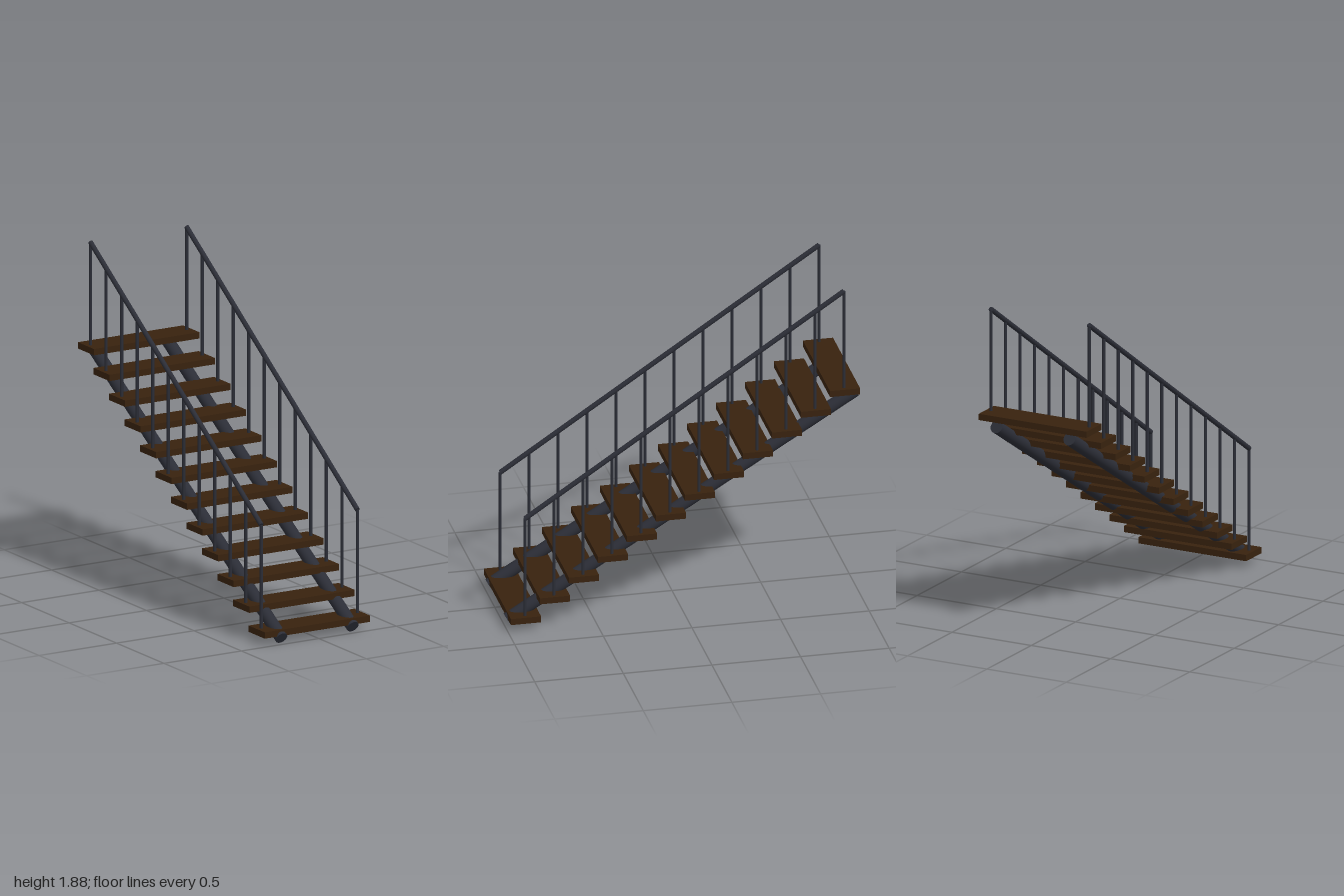
import * as THREE from 'three';

const STEPS = 12;

export function createModel() {
  const model = new THREE.Group();
  model.name = 'staircase';

  const wood = new THREE.MeshStandardMaterial({ color: 0x38220e });
  wood.name = 'dark wood';
  const metal = new THREE.MeshStandardMaterial({ color: 0x2b2d36 });
  metal.name = 'dark metal';

  // Round bar between two points
  function bar(name, a, b, radius, sides) {
    const axis = new THREE.Vector3().subVectors(b, a);
    const mesh = new THREE.Mesh(new THREE.CylinderGeometry(radius, radius, axis.length(), sides), metal);
    mesh.name = name;
    mesh.position.addVectors(a, b).multiplyScalar(0.5);
    mesh.quaternion.setFromUnitVectors(new THREE.Vector3(0, 1, 0), axis.normalize());
    return mesh;
  }
  const point = (x, y, z) => new THREE.Vector3(x, y, z);

  // Treads, rising towards the back
  const treadGeometry = new THREE.BoxGeometry(0.68, 0.036, 0.17);
  const treadY = t => 0.062 + 1.2 * t;
  const treadZ = t => 0.9 - 1.8 * t;
  const railY = t => 0.668 + 1.197 * t;
  const treads = new THREE.Group();
  treads.name = 'treads';
  for (let i = 0; i < STEPS; i++) {
    const t = i / (STEPS - 1);
    const tread = new THREE.Mesh(treadGeometry, wood);
    tread.name = 'tread';
    tread.position.set(0, treadY(t), treadZ(t));
    treads.add(tread);
  }
  model.add(treads);

  for (const side of [-1, 1]) {
    // Tubular stringer below the treads
    model.add(bar('stringer', point(side * 0.23, 0.031, 0.981), point(side * 0.23, 1.22, -0.981), 0.036, 24));

    // Handrail with one baluster per tread
    const railing = new THREE.Group();
    railing.name = side > 0 ? 'leftRailing' : 'rightRailing';
    const x = side * 0.31;
    railing.add(bar('handrail', point(x, railY(0), treadZ(0)), point(x, railY(1), treadZ(1)), 0.014, 16));
    for (let i = 0; i < STEPS; i++) {
      const t = i / (STEPS - 1);
      railing.add(bar('baluster', point(x, treadY(t), treadZ(t)), point(x, railY(t), treadZ(t)), 0.009, 12));
    }
    model.add(railing);
  }
  return model;
}
